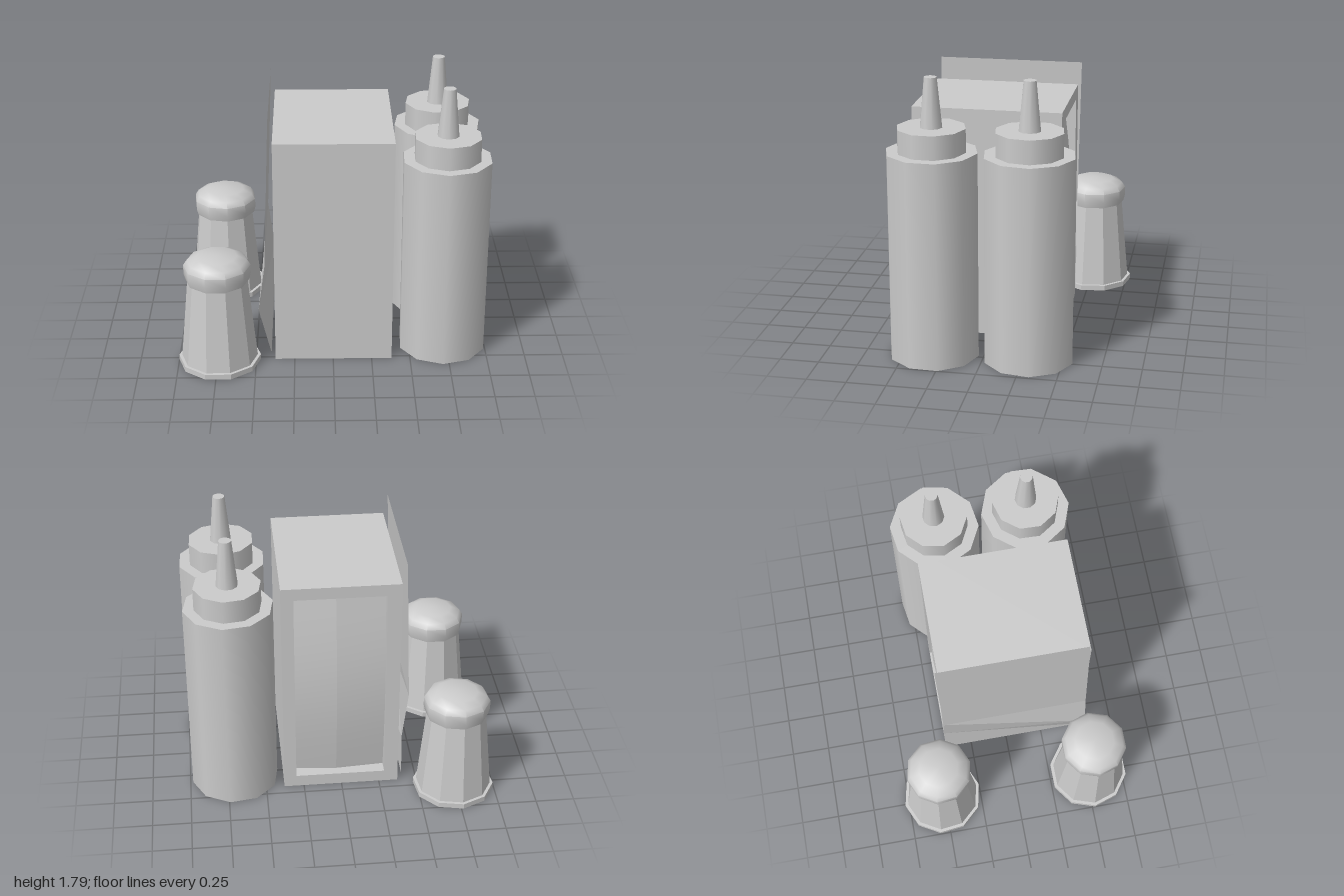
import * as THREE from 'three';
import { toCreasedNormals } from 'three/addons/utils/BufferGeometryUtils.js';

const SIDES = 10;
const smooth = new THREE.MeshStandardMaterial({ color: 0xcccccc });
const thin = new THREE.MeshStandardMaterial({ color: 0xcccccc, side: THREE.DoubleSide });
const flat = new THREE.MeshStandardMaterial({ color: 0xcccccc, flatShading: true });
const flatThin = new THREE.MeshStandardMaterial({ color: 0xcccccc, flatShading: true, side: THREE.DoubleSide });

function add(parent, name, geometry, material, x = 0, y = 0, z = 0) {
  const mesh = new THREE.Mesh(geometry, material);
  mesh.name = name;
  mesh.position.set(x, y, z);
  parent.add(mesh);
  return mesh;
}

// Upright cylinder or cone standing between two heights
function drum(parent, name, rBottom, rTop, y0, y1, material, open = false) {
  const g = new THREE.CylinderGeometry(rTop, rBottom, y1 - y0, SIDES, 1, open);
  return add(parent, name, g, material, 0, (y0 + y1) / 2, 0);
}

// Sheet through rows of [x, y, z] points, every row the same length
function sheet(rows) {
  const n = rows[0].length;
  const index = [];
  for (let i = 0; i < rows.length - 1; i++) {
    for (let j = 0; j < n - 1; j++) {
      const a = i * n + j, b = a + 1, c = a + n, d = c + 1;
      index.push(a, c, b, b, c, d);
    }
  }
  const g = new THREE.BufferGeometry();
  g.setAttribute('position', new THREE.Float32BufferAttribute(rows.flat(2), 3));
  g.setIndex(index);
  g.computeVertexNormals();
  return g;
}

function squeezeBottle(name, x, z, turn) {
  const bottle = new THREE.Group();
  bottle.name = name;
  drum(bottle, 'bottleBody', 0.287, 0.287, 0, 1.33, thin, true); // open underneath
  const shoulder = add(bottle, 'bottleShoulder', new THREE.CircleGeometry(0.287, SIDES), thin, 0, 1.33, 0);
  shoulder.rotation.set(-Math.PI / 2, 0, Math.PI / 2);
  drum(bottle, 'bottleCap', 0.215, 0.215, 1.33, 1.48, smooth);
  drum(bottle, 'nozzle', 0.07, 0.04, 1.48, 1.79, smooth);
  bottle.position.set(x, 0, z);
  bottle.rotation.y = THREE.MathUtils.degToRad(turn);
  return bottle;
}

function shaker(name, x, z, turn) {
  const group = new THREE.Group();
  group.name = name;
  drum(group, 'shakerBase', 0.265, 0.265, 0, 0.035, flat);
  drum(group, 'shakerBody', 0.245, 0.19, 0.035, 0.6, flat);
  // Rounded lid
  const profile = [[0, 0.59], [0.203, 0.59], [0.213, 0.63], [0.213, 0.69], [0.19, 0.725], [0.13, 0.753], [0, 0.76]]
    .map(([r, y]) => new THREE.Vector2(r, y));
  add(group, 'shakerLid', toCreasedNormals(new THREE.LatheGeometry(profile, SIDES), 0.8), smooth);
  group.position.set(x, 0, z);
  group.rotation.y = THREE.MathUtils.degToRad(turn);
  return group;
}

function napkinHolder() {
  const holder = new THREE.Group();
  holder.name = 'napkinHolder';
  const x0 = -0.375, x1 = 0.38, h = 1.51, back = -0.43, front = 0.525, depth = 0.12;
  const ox0 = -0.285, ox1 = 0.3, oy0 = 0.08, oy1 = 1.43;

  add(holder, 'holderBox', new THREE.BoxGeometry(x1 - x0, h, front - back - depth), flat,
    (x0 + x1) / 2, h / 2, (front + back + depth) / 2);

  // Frame around the opening
  const rect = (Type, a, b, c, d) => new Type([[a, c], [b, c], [b, d], [a, d]].map(p => new THREE.Vector2(...p)));
  const shape = rect(THREE.Shape, x0, x1, 0, h);
  shape.holes.push(rect(THREE.Path, ox0, ox1, oy0, oy1));
  add(holder, 'holderFrame', new THREE.ExtrudeGeometry(shape, { depth, bevelEnabled: false }), flat, 0, 0, back);

  // Two napkin leaves bulging towards the opening, creased down the middle
  const leaf = (xa, da, xb, db) => {
    const rows = [];
    for (let i = 0; i <= 10; i++) {
      const t = i / 10, y = oy0 + (oy1 - oy0) * t, bulge = 0.06 * Math.sin(Math.PI * t);
      rows.push([[xa, y, back + da - bulge], [xb, y, back + db - bulge]]);
    }
    return sheet(rows);
  };
  add(holder, 'napkinLeft', leaf(0.03, 0.062, ox1, 0.085), thin);
  add(holder, 'napkinRight', leaf(ox0, 0.085, 0.03, 0.062), thin);
  return holder;
}

export function createModel() {
  const model = new THREE.Group();
  model.name = 'condimentSet';
  model.add(napkinHolder());
  model.add(squeezeBottle('backBottle', 0.7, -0.28, 27));
  model.add(squeezeBottle('frontBottle', 0.72, 0.32, 34));
  model.add(shaker('backShaker', -0.735, -0.515, 6.5));
  model.add(shaker('frontShaker', -0.735, 0.52, 18));

  // Bent menu card leaning on the holder, each row from back to front
  add(model, 'menuCard', sheet([
    [[-0.4, 0.05, -0.43], [-0.4, 0.05, 0.53]],
    [[-0.395, 0.36, -0.435], [-0.478, 0.37, 0.53]],
    [[-0.435, 0.68, -0.43], [-0.435, 0.68, 0.525]],
    [[-0.4, 1.655, -0.45], [-0.4, 1.655, 0.505]],
  ]), flatThin);
  return model;
}
